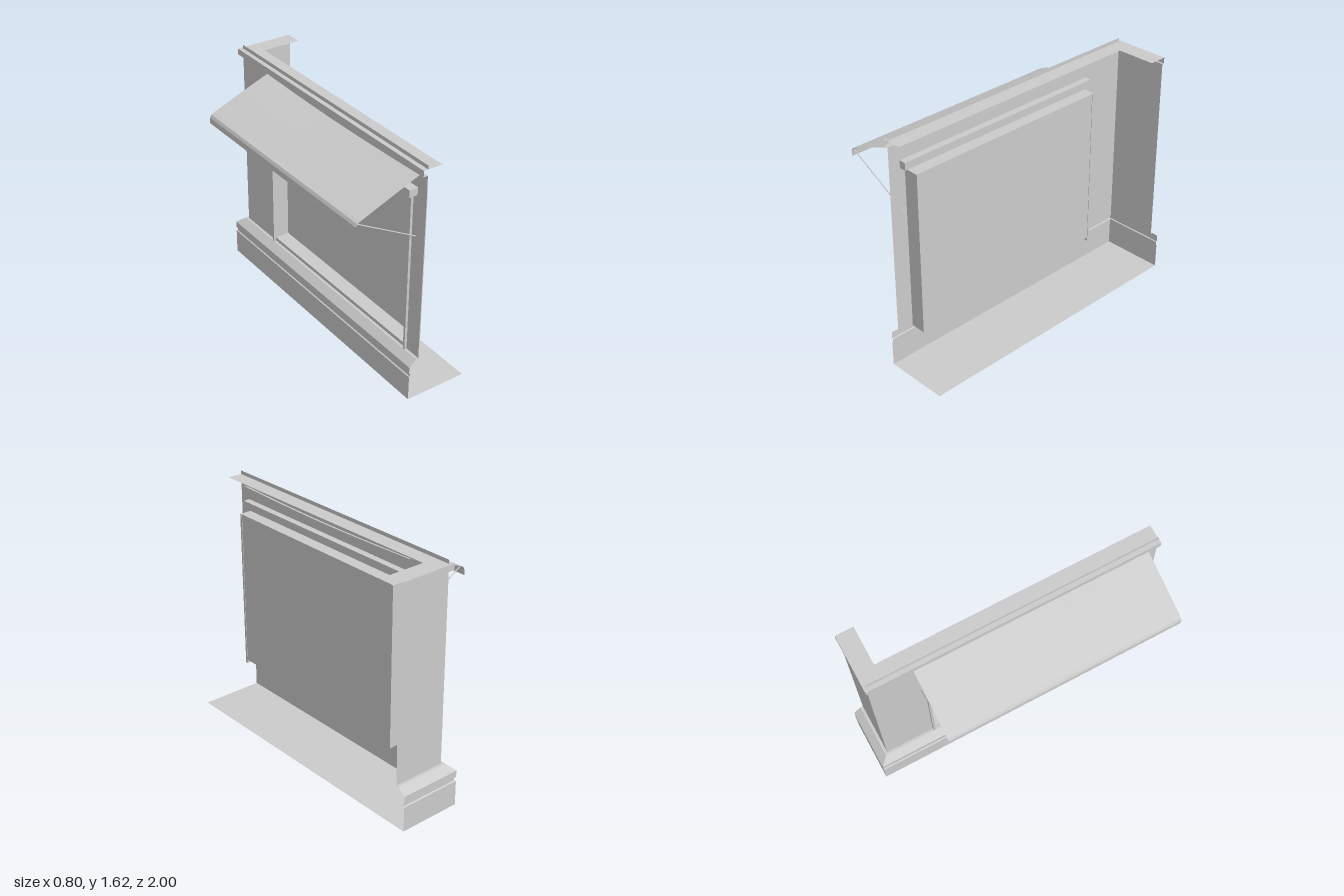
import * as THREE from 'three';

const mat = new THREE.MeshStandardMaterial({ color: 0xcccccc, side: THREE.DoubleSide, flatShading: true });
const END_Z = 1, BACK_X = 0.4;

function add(group, name, geometry) {
  const mesh = new THREE.Mesh(geometry, mat);
  mesh.name = name;
  group.add(mesh);
  return mesh;
}

// Box given by its minimum and maximum corners
function box(group, name, [x0, y0, z0], [x1, y1, z1]) {
  const g = new THREE.BoxGeometry(x1 - x0, y1 - y0, z1 - z0);
  g.translate((x0 + x1) / 2, (y0 + y1) / 2, (z0 + z1) / 2);
  return add(group, name, g);
}

// Surface through rows of points
function loft(rows) {
  const pos = rows.flat(2), idx = [], n = rows[0].length;
  for (let i = 0; i < rows.length - 1; i++)
    for (let j = 0; j < n - 1; j++) {
      const a = i * n + j, b = a + n;
      idx.push(a, a + 1, b, b, a + 1, b + 1);
    }
  const g = new THREE.BufferGeometry();
  g.setAttribute('position', new THREE.Float32BufferAttribute(pos, 3));
  g.setIndex(idx);
  const flat = g.toNonIndexed();
  flat.computeVertexNormals();
  return flat;
}

// Sweep a profile of [x, y, z] corner points along the facade and round the side
function cornerSweep(profile) {
  return loft(profile.map(([x, y, z]) => [[x, y, END_Z], [x, y, z], [BACK_X, y, z]]));
}

// Upright sheet facing -x, outlined in (z, y)
function sheet(x, z0, y0, z1, y1, hole) {
  const rect = (T, a, b, c, d) => new T([[a, b], [c, b], [c, d], [a, d]].map(p => new THREE.Vector2(...p)));
  const s = rect(THREE.Shape, z0, y0, z1, y1);
  if (hole) s.holes.push(rect(THREE.Path, ...hole));
  return new THREE.ShapeGeometry(s).rotateY(-Math.PI / 2).translate(x, 0, 0);
}

export function createModel() {
  const model = new THREE.Group();
  model.name = 'shopfront';
  const wallX = 0.035, wallZ = -0.93;
  const win = { z0: -0.59, z1: 0.885, y0: 0.3, y1: 1.38, back: 0.135 };

  // Ground slab
  add(model, 'floor', new THREE.PlaneGeometry(0.43, 2).rotateX(-Math.PI / 2).translate(0.185, 0, 0));

  // Plinth with a groove and a sloped top
  add(model, 'plinth', cornerSweep([
    [-0.03, 0, -1], [-0.03, 0.17, -1], [-0.022, 0.175, -0.992], [-0.022, 0.197, -0.992],
    [-0.03, 0.2, -1], [-0.03, 0.245, -1], [0.018, 0.29, -0.948], [wallX, 0.29, wallZ],
  ]));

  // Facade with window opening, and side wall
  add(model, 'frontWall', sheet(wallX, wallZ, 0.28, END_Z, 1.56, [win.z0, win.y0, win.z1, win.y1]));
  add(model, 'sideWall', new THREE.PlaneGeometry(BACK_X - wallX, 1.28)
    .rotateY(Math.PI).translate((BACK_X + wallX) / 2, 0.92, wallZ));

  // Cornice and raised strip above it
  add(model, 'cornice', cornerSweep([
    [wallX, 1.56, wallZ], [0.005, 1.56, -0.945], [0.005, 1.6, -0.945], [0.135, 1.6, -0.825],
  ]));
  add(model, 'roofStrip', sheet(wallX, wallZ, 1.6, END_Z, 1.625));

  // Recessed window: jambs, head, sill and pane
  const t = 0.015;
  for (const z of [win.z0, win.z1 - t])
    box(model, 'windowJamb', [0.018, 0.275, z], [win.back + 0.003, win.y1, z + t]);
  box(model, 'windowHead', [wallX, win.y1 - t, win.z0], [win.back, win.y1, win.z1]);
  box(model, 'windowSill', [wallX, win.y0, win.z0], [win.back, win.y0 + t, win.z1]);
  add(model, 'windowPane', sheet(win.back, win.z0, win.y0, win.z1, win.y1));

  // Awning housing
  box(model, 'awningHousing', [-0.025, 1.397, -0.62], [0.08, 1.447, 0.92]);

  // Awning cloth with a slight sag in the middle and a curved front edge
  const a0 = -0.64, a1 = 0.93, steps = 10;
  const path = [[0.067, 1.544], [-0.15, 1.459], [-0.37, 1.371], [-0.388, 1.361], [-0.398, 1.342], [-0.4, 1.304]];
  const rows = path.map(([x, y], i) => Array.from({ length: steps + 1 }, (_, k) => {
    const sag = i < 3 ? 0.016 * Math.sin(Math.PI * k / steps) * (1 - i * 0.35) : 0;
    return [x, y - sag, a0 + (a1 - a0) * k / steps];
  }));
  add(model, 'awningCloth', loft(rows));

  // Awning support rods
  for (const z of [-0.615, 0.922]) {
    const line = new THREE.LineCurve3(new THREE.Vector3(-0.385, 1.355, z), new THREE.Vector3(0.067, 1.107, z));
    add(model, 'awningRod', new THREE.TubeGeometry(line, 1, 0.004, 6));
  }
  return model;
}
